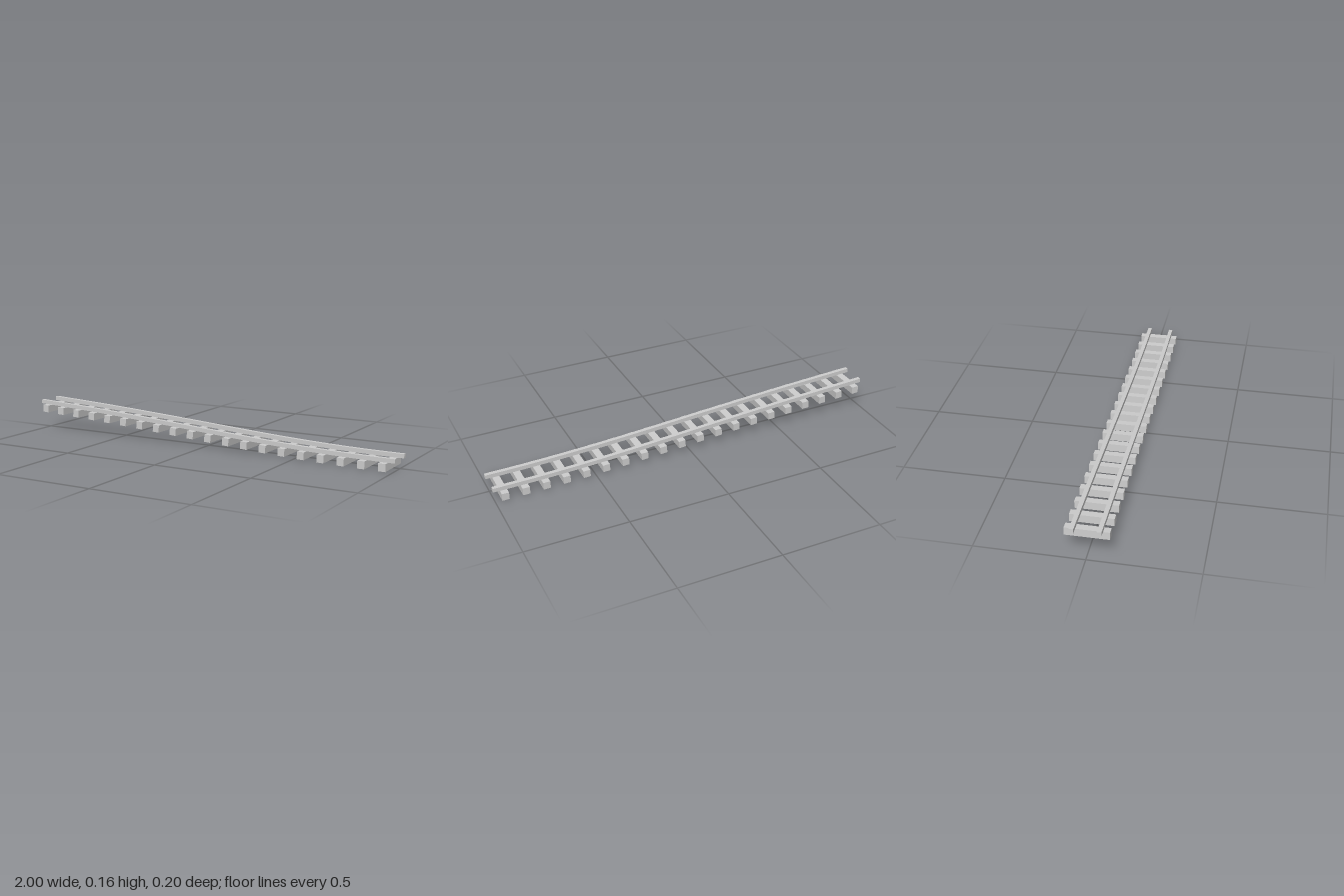
import * as THREE from 'three';

const RAIL = 0.02, TIE_W = 0.035, TIE_H = 0.037, TIE_LEN = 0.2, TIES = 20;

export function createModel() {
  const group = new THREE.Group();
  group.name = 'slopedTrack';
  const material = new THREE.MeshStandardMaterial({ color: 0xcccccc, flatShading: true });

  // Centre line of the rails: a gentle descent that levels out at +x
  const path = new THREE.SplineCurve([
    [-1, 0.147], [-0.6, 0.127], [-0.2, 0.102], [0, 0.0885], [0.2, 0.075],
    [0.4, 0.063], [0.6, 0.054], [0.8, 0.0485], [1, 0.047],
  ].map(([x, y]) => new THREE.Vector2(x, y)));
  const frame = (u) => {
    const p = path.getPointAt(u), t = path.getTangentAt(u);
    return { p, normal: new THREE.Vector2(-t.y, t.x), angle: Math.atan2(t.y, t.x) };
  };

  // Rails: side outline offset from the centre line, extruded across the width
  const top = [], bottom = [];
  for (let i = 0; i <= TIES; i++) {
    const { p, normal } = frame(i / TIES);
    top.push(p.clone().addScaledVector(normal, RAIL / 2));
    bottom.push(p.clone().addScaledVector(normal, -RAIL / 2));
  }
  const outline = new THREE.Shape([...bottom, ...top.reverse()]);
  const railGeometry = new THREE.ExtrudeGeometry(outline, { depth: RAIL, bevelEnabled: false });
  railGeometry.translate(0, 0, -RAIL / 2);
  for (const side of [-1, 1]) {
    const rail = new THREE.Mesh(railGeometry, material);
    rail.name = side > 0 ? 'frontRail' : 'backRail';
    rail.position.z = side * 0.06;
    group.add(rail);
  }

  // Ties: evenly spaced beams hung under the rails and tilted with the slope
  const tieGeometry = new THREE.BoxGeometry(TIE_W, TIE_H, TIE_LEN);
  for (let i = 0; i < TIES; i++) {
    const { p, normal, angle } = frame((i + 0.5) / TIES);
    const tie = new THREE.Mesh(tieGeometry, material);
    const centre = p.addScaledVector(normal, -(RAIL + TIE_H) / 2);
    tie.name = `tie${i + 1}`;
    tie.position.set(centre.x, centre.y, 0);
    tie.rotation.z = angle;
    group.add(tie);
  }
  return group;
}
